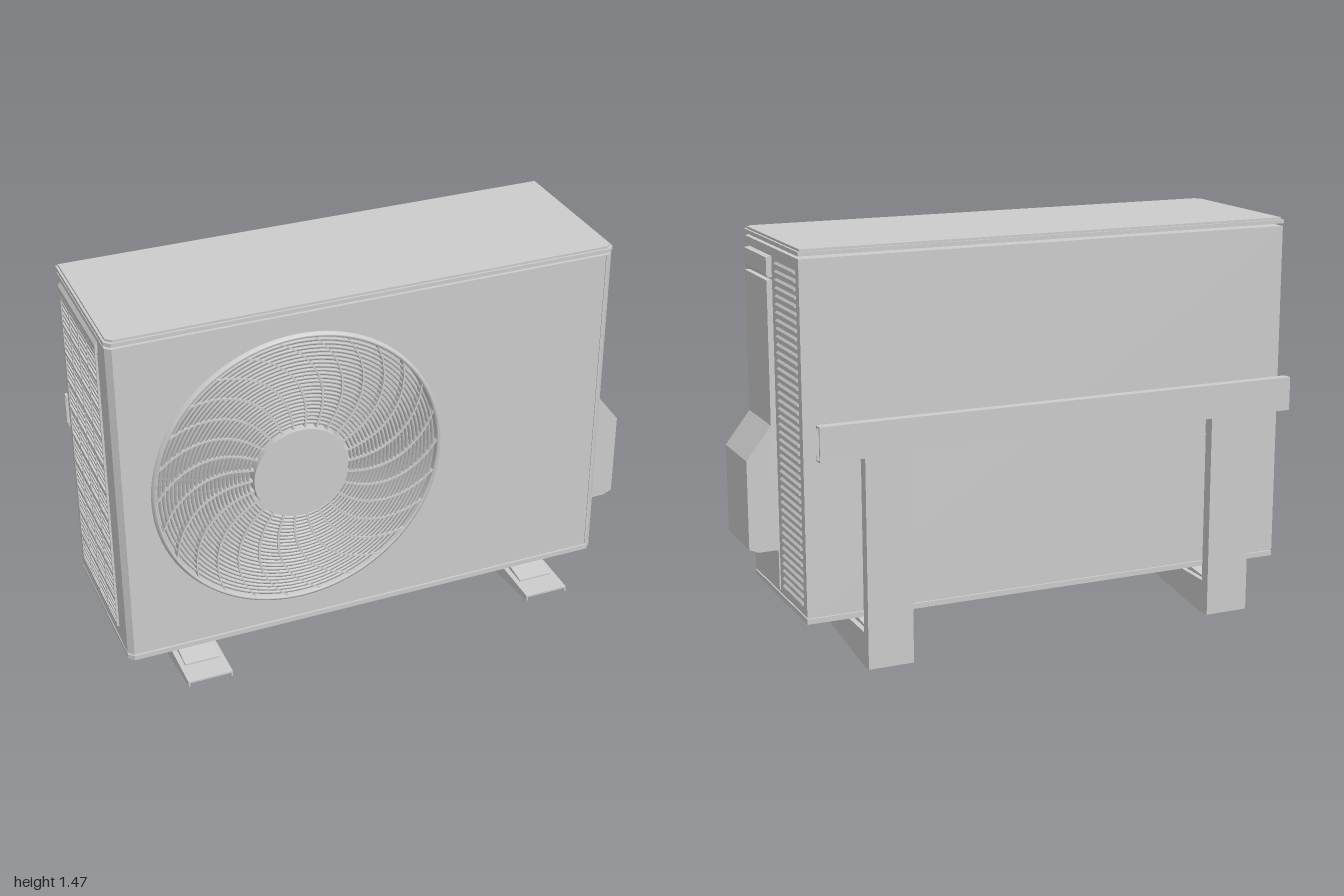
import * as THREE from 'three';
import { mergeGeometries } from 'three/addons/utils/BufferGeometryUtils.js';

const material = new THREE.MeshStandardMaterial({ color: 0xcccccc, side: THREE.DoubleSide });

// Box given by its limits on each axis
function box(x0, x1, y0, y1, z0, z1) {
  return new THREE.BoxGeometry(x1 - x0, y1 - y0, z1 - z0)
    .translate((x0 + x1) / 2, (y0 + y1) / 2, (z0 + z1) / 2);
}
const shapeOf = (pts) => new THREE.Shape(pts.map(([a, b]) => new THREE.Vector2(a, b)));
const extrude = (shape, depth, curveSegments = 24) =>
  new THREE.ExtrudeGeometry(shape, { depth, bevelEnabled: false, curveSegments });
// Profile in (z, y) extruded along x
const extrudeX = (pts, x0, x1) =>
  extrude(shapeOf(pts.map(([z, y]) => [-z, y])), x1 - x0).rotateY(Math.PI / 2).translate(x0, 0, 0);
// Profile in (x, z) extruded along y
const extrudeY = (pts, y0, y1) =>
  extrude(shapeOf(pts.map(([x, z]) => [x, -z])), y1 - y0).rotateX(-Math.PI / 2).translate(0, y0, 0);
// Profile in (x, y) extruded along z
const extrudeZ = (pts, z0, z1) => extrude(shapeOf(pts), z1 - z0).translate(0, 0, z0);

const L = -0.99, R = 0.885, BACK = -0.333, FRONT = 0.285;
const FAN_X = -0.325, FAN_Y = 0.82, FAN_R = 0.53, HUB_R = 0.18;

// Plan outline with clipped front corners
const plan = (inset, clip) => [
  [L + inset, BACK + inset], [R - inset, BACK + inset], [R - inset, FRONT - inset - clip],
  [R - inset - clip, FRONT - inset], [L + inset + clip, FRONT - inset], [L + inset, FRONT - inset - clip],
];

function roundedRect(x0, x1, y0, y1, r, Type = THREE.Shape) {
  const s = new Type();
  s.moveTo(x0 + r, y0);
  s.absarc(x1 - r, y0 + r, r, -Math.PI / 2, 0);
  s.absarc(x1 - r, y1 - r, r, 0, Math.PI / 2);
  s.absarc(x0 + r, y1 - r, r, Math.PI / 2, Math.PI);
  s.absarc(x0 + r, y0 + r, r, Math.PI, Math.PI * 1.5);
  s.closePath();
  return s;
}

// Curved grille blade sweeping from the hub to the rim
function blade(angle) {
  const n = 10, inner = [], outer = [];
  for (let i = 0; i <= n; i++) {
    const t = i / n, r = HUB_R - 0.005 + t * (FAN_R - HUB_R + 0.007);
    const a = angle + 0.5 * t * t, w = 0.004 / r;
    inner.push([r * Math.cos(a - w), r * Math.sin(a - w)]);
    outer.unshift([r * Math.cos(a + w), r * Math.sin(a + w)]);
  }
  return extrudeZ([...inner, ...outer], 0.262, 0.292);
}

// Lathe section (r, z) turned about the fan axis
function ring(points, segments = 72) {
  const pts = points.map(([r, z]) => new THREE.Vector2(r, z));
  return new THREE.LatheGeometry(pts, segments).rotateX(Math.PI / 2);
}

export function createModel() {
  const model = new THREE.Group();
  model.name = 'outdoorUnit';
  const add = (name, geometries, parent = model) => {
    const list = [].concat(geometries).map((g) => (g.index ? g.toNonIndexed() : g));
    const mesh = new THREE.Mesh(mergeGeometries(list), material);
    mesh.name = name;
    parent.add(mesh);
    return mesh;
  };

  // Cabinet, with a shallow well behind the fan grille
  const wellZ = 0.24, clip = 0.03;
  add('cabinet', box(L, R, 0.19, 1.44, BACK, wellZ));
  const panel = shapeOf([[L + clip, 0.19], [R - clip, 0.19], [R - clip, 1.44], [L + clip, 1.44]]);
  panel.holes.push(new THREE.Path().absarc(FAN_X, FAN_Y, FAN_R, 0, Math.PI * 2, true));
  add('frontPanel', extrude(panel, FRONT - 0.003 - wellZ, 36).translate(0, 0, wellZ));
  add('frontCorners', [[L, 1], [R, -1]].map(([x, s]) => extrudeY([
    [x, wellZ], [x + s * clip, wellZ], [x + s * clip, FRONT],
    [x + s * 0.02, FRONT], [x, FRONT - 0.02],
  ], 0.19, 1.44)));

  // Lid above a narrow gap, with a stepped bevel on top
  add('lid', [
    extrudeY(plan(-0.002, 0.02), 1.45, 1.464),
    extrudeY(plan(0.006, 0.02), 1.464, 1.472),
  ]);

  // Base pan with pressed ribs and drain rings underneath
  add('basePan', [extrudeY(plan(0, 0.02), 0.165, 0.184), extrudeY(plan(0.008, 0.02), 0.184, 0.19)]);
  const ribs = [[-0.92, -0.15, -0.26, 0.2], [-0.08, 0.42, -0.2, 0.2], [0.48, 0.82, -0.26, 0.2]]
    .map(([x0, x1, z0, z1]) => {
      const s = roundedRect(x0, x1, -z1, -z0, 0.07);
      s.holes.push(roundedRect(x0 + 0.015, x1 - 0.015, -z1 + 0.015, -z0 - 0.015, 0.055, THREE.Path));
      return extrude(s, 0.006, 6).rotateX(-Math.PI / 2).translate(0, 0.16, 0);
    });
  const drains = [-0.3, 0.2].map((x) =>
    new THREE.TorusGeometry(0.035, 0.005, 6, 24).rotateX(Math.PI / 2).translate(x, 0.164, -0.08));
  add('basePanRibs', [...ribs, ...drains]);

  // Fan grille: rim, hub, concentric rings and swept blades
  const grille = new THREE.Group();
  grille.name = 'fanGrille';
  grille.position.set(FAN_X, FAN_Y, 0);
  model.add(grille);
  add('fanRim', ring([[0.528, 0.24], [0.528, 0.29], [0.532, 0.297], [0.54, 0.297], [0.546, 0.281]], 96), grille);
  add('hub', new THREE.CylinderGeometry(HUB_R - 0.003, HUB_R, 0.045, 64)
    .rotateX(Math.PI / 2).translate(0, 0, 0.2825), grille);
  const rings = [];
  for (let i = 1; i < 24; i++) {
    const r = HUB_R + i * (FAN_R - HUB_R) / 24, z = 0.291 - 0.004 * i / 24;
    rings.push(ring([[r - 0.004, z - 0.015], [r + 0.004, z - 0.015],
      [r + 0.004, z], [r - 0.004, z], [r - 0.004, z - 0.015]]));
  }
  add('grilleRings', rings, grille);
  const blades = [];
  for (let i = 0; i < 26; i++) blades.push(blade(i * Math.PI * 2 / 26));
  add('grilleBlades', blades, grille);

  // Service covers on the +x side
  add('valveCover', extrudeZ([
    [R - 0.005, 0.35], [0.965, 0.35], [0.998, 0.365], [0.998, 0.69],
    [0.905, 0.81], [0.905, 1.325], [R - 0.005, 1.325],
  ], -0.04, 0.215));
  add('upperCover', extrudeZ([
    [R - 0.005, 1.335], [0.9, 1.335], [0.905, 1.345], [0.905, 1.405], [R - 0.005, 1.41],
  ], -0.04, 0.215));
  add('lowerCover', box(R - 0.005, R + 0.005, 0.2, 0.35, -0.04, 0.215));

  // Louvres behind the service covers
  const louvres = [];
  for (let i = 0; i < 42; i++) {
    const y = 0.225 + i * 0.0283;
    louvres.push(extrudeZ([[R - 0.002, y], [R + 0.007, y], [R + 0.007, y + 0.004], [R - 0.002, y + 0.014]],
      -0.3, -0.085));
  }
  add('sideLouvres', louvres);

  // Air intake on the -x side: fine slats, cross bars and uprights
  const slats = [], bars = [];
  for (let i = 0; i < 50; i++) {
    const y = 0.255 + i * 0.0222;
    slats.push(box(L - 0.005, L + 0.002, y, y + 0.009, -0.275, 0.165));
  }
  for (let i = 0; i <= 10; i++) {
    const y = 0.245 + i * 0.112;
    bars.push(box(L - 0.008, L + 0.002, y, y + 0.014, -0.28, 0.17));
  }
  for (let i = 0; i <= 4; i++) {
    const z = -0.28 + i * 0.111;
    bars.push(box(L - 0.008, L + 0.002, 0.245, 1.38, z, z + 0.006));
  }
  add('intakeSlats', slats);
  add('intakeFrame', bars);
  add('handle', extrudeZ([[L + 0.002, 1.38], [L - 0.01, 1.385], [L - 0.01, 1.41], [L + 0.002, 1.425]],
    -0.29, 0.18));

  // Wall rail: a channel open toward the cabinet
  const rx0 = -0.98, rx1 = 0.86;
  add('wallRail', extrudeX([
    [-0.435, 0.765], [-0.4, 0.765], [-0.4, 0.785], [-0.405, 0.785], [-0.405, 0.772], [-0.428, 0.772],
    [-0.428, 0.883], [-0.405, 0.883], [-0.405, 0.875], [-0.4, 0.875], [-0.4, 0.89], [-0.435, 0.89],
  ], rx0, rx1));

  // Two brackets: column, tapering arm and mounting foot
  for (const cx of [-0.735, 0.615]) {
    const bracket = new THREE.Group();
    bracket.name = 'bracket';
    bracket.position.x = cx;
    model.add(bracket);
    const w = 0.084, t = 0.007;
    const sides = [-w, w - t];
    add('column', [
      box(-w, w, 0.005, 0.765, -0.432, -0.425),
      box(-w, w, 0.7, 0.82, -0.398, -0.388),
      ...sides.map((x) => box(x, x + t, 0.005, 0.765, -0.43, -0.39)),
    ], bracket);
    add('arm', [
      box(-w, w, 0.122, 0.129, -0.39, 0.434),
      ...sides.map((x) => extrudeX([
        [0.434, 0.127], [0.434, 0.107], [-0.37, 0.003], [-0.43, 0.005], [-0.43, 0.127],
      ], x, x + t)),
    ], bracket);
    add('foot', [
      extrudeX([[0.34, 0.129], [0.34, 0.135], [0.2, 0.15], [-0.2, 0.15], [-0.375, 0.135], [-0.375, 0.129]],
        -0.065, 0.065),
      box(-0.05, 0.05, 0.148, 0.167, -0.21, 0.11),
    ], bracket);
  }
  return model;
}
